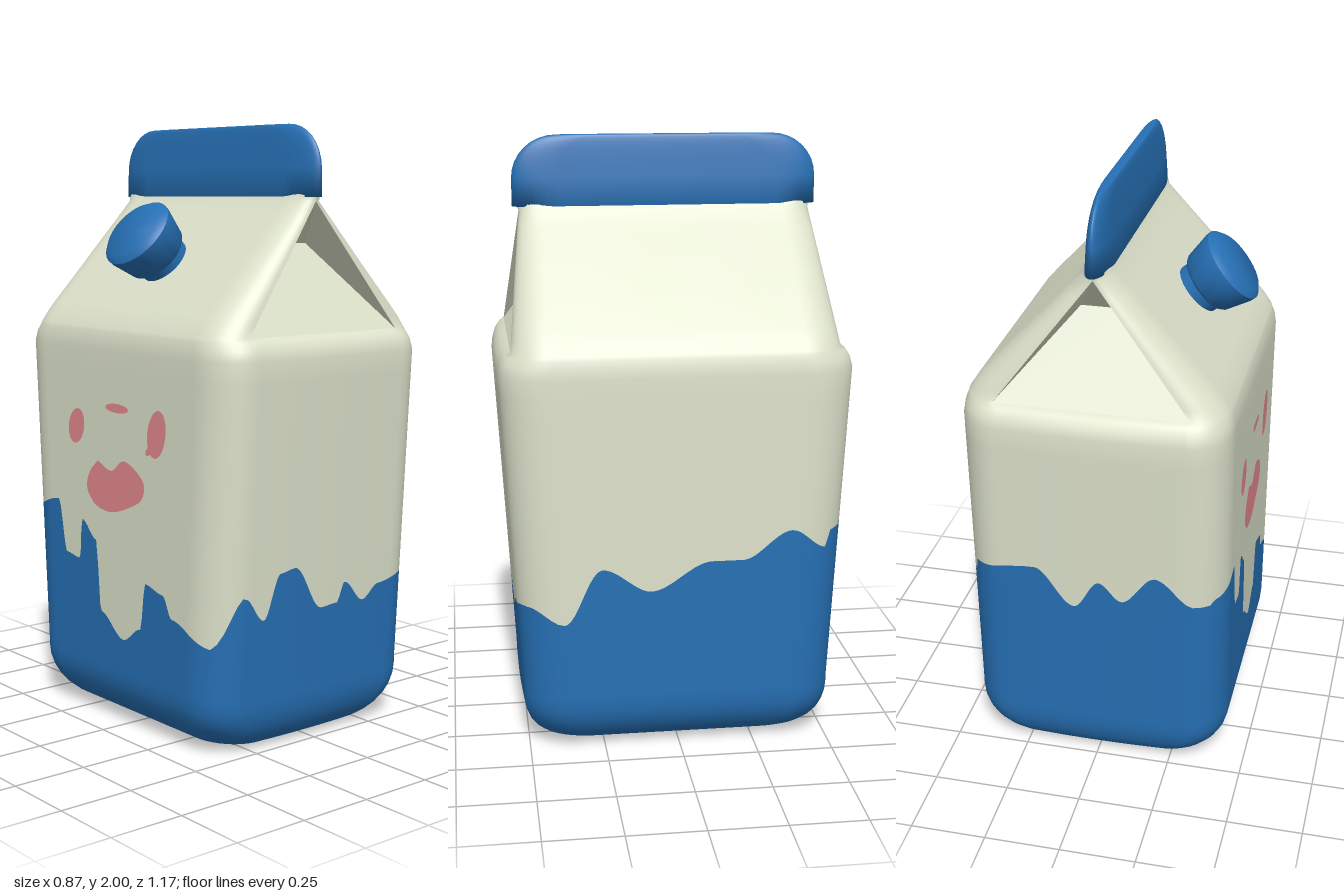
import * as THREE from 'three';
import { toCreasedNormals } from 'three/addons/utils/BufferGeometryUtils.js';

// Columns running round a rounded rectangle: f is the flat part, a the corner arc
const COLUMNS = [];
const CORNER = 10;
for (let k = 0; k < 4; k++) {
  const turn = (x, z) => {
    for (let i = 0; i < k; i++) [x, z] = [z, -x];
    return { x, z };
  };
  const n = k % 2 ? 90 : 72;
  for (let i = 0; i < n; i++) {
    COLUMNS.push({ f: turn((2 * i) / n - 1, 1), a: turn(0, 1), face: k, gable: k % 2 === 0 });
  }
  for (let i = 0; i < CORNER; i++) {
    const t = (i / CORNER) * Math.PI / 2;
    COLUMNS.push({ f: turn(1, 1), a: turn(Math.sin(t), Math.cos(t)), face: i < CORNER / 2 ? k : (k + 1) % 4 });
  }
}

// Point on a ring: half sizes hx, hz, corner radii rx, rz and a slight bow of front and back
function ringPoint(c, { y, hx, hz, rx, rz, bow = 0 }) {
  const x = c.f.x * (hx - rx) + c.a.x * rx;
  const z = c.f.z * (hz - rz) + c.a.z * rz;
  return [x, y, z + Math.sign(z) * bow * (1 - (x / hx) ** 2)];
}

// Skin over rings; a ring may be a function of the column. Rings from openFrom up leave the gables open.
function loft(rings, { openFrom = Infinity, capBottom = false, capTop = false } = {}) {
  const n = COLUMNS.length, pos = [], index = [];
  for (const r of rings) {
    COLUMNS.forEach((c, i) => pos.push(...ringPoint(c, typeof r === 'function' ? r(i) : r)));
  }
  for (let j = 0; j < rings.length - 1; j++) {
    for (let i = 0; i < n; i++) {
      if (j >= openFrom && COLUMNS[i].gable) continue;
      const a = j * n + i, b = j * n + (i + 1) % n;
      index.push(a, b, b + n, a, b + n, a + n);
    }
  }
  const addCap = (j, up) => {
    const centre = pos.length / 3;
    pos.push(0, rings[j].y, 0);
    for (let i = 0; i < n; i++) {
      const a = j * n + i, b = j * n + (i + 1) % n;
      index.push(...(up ? [a, b, centre] : [b, a, centre]));
    }
  };
  if (capBottom) addCap(0, false);
  if (capTop) addCap(rings.length - 1, true);
  const g = new THREE.BufferGeometry();
  g.setAttribute('position', new THREE.Float32BufferAttribute(pos, 3));
  g.setIndex(index);
  g.computeVertexNormals();
  return g;
}

// Straight part of the carton wall, widening upwards from front to back
const wall = y => ({ y, hx: 0.435, hz: 0.508 + (y - 0.2) * 0.057, rx: 0.12, rz: 0.14, bow: 0.016 });

// Crests and troughs of the blue paint, as [x or z, y], joined by smooth waves
const frontWave = [[-.42, .36], [-.33, .53], [-.25, .445], [-.19, .59], [-.13, .6], [-.01, .45],
  [.06, .455], [.09, .52], [.18, .445], [.25, .49], [.38, .51], [.435, .47]];
const leftWave = [[-.5, .73], [-.48, .68], [-.355, .75], [-.2, .655], [-.1, .655],
  [.1, .56], [.255, .64], [.39, .455], [.5, .51]];
const backWave = [[-.34, .675], [-.21, .775], [-.1, .67], [-.025, .735], [.06, .63], [.19, .765], [.43, .735]];
const rightWave = [[-.5, .69], [-.335, .73], [-.3, .55], [-.22, .54], [-.2, .68], [-.12, .62], [-.1, .38],
  [.03, .305], [.13, .36], [.155, .52], [.25, .5], [.3, .43], [.5, .36]];
const waves = [frontWave, leftWave, backWave, rightWave];

function paintEdge(i) {
  const c = COLUMNS[i], p = ringPoint(c, wall(0.55));
  const wave = waves[c.face], s = c.face % 2 ? p[2] : p[0];
  let k = 1;
  while (k < wave.length - 1 && wave[k][0] < s) k++;
  const [s0, y0] = wave[k - 1], [s1, y1] = wave[k];
  return wall(THREE.MathUtils.lerp(y0, y1, THREE.MathUtils.smoothstep(s, s0, s1)));
}

// Roof ring whose flat end narrows to the gable apex
function roof(y, hx) {
  const t = (y - 1.34) / 0.415;
  return { y, hx, hz: 0.535 - 0.049 * t, rx: hx - 0.315 * Math.max(0, 1 - t), rz: 0.12 - 0.03 * t };
}

export function createModel() {
  const mat = (name, color, side = THREE.FrontSide) =>
    Object.assign(new THREE.MeshStandardMaterial({ color, side }), { name });
  const cream = mat('cream', 0xdde2cb, THREE.DoubleSide);
  const blue = mat('blue', 0x2670b5);
  const pink = mat('pink', 0xe88a90, THREE.DoubleSide);
  const group = new THREE.Group();
  group.name = 'milkCarton';
  const add = (name, geometry, material) => {
    const m = new THREE.Mesh(geometry, material);
    m.name = name;
    group.add(m);
    return m;
  };

  // Blue lower body with rounded foot
  const foot = [];
  for (let i = 0; i <= 8; i++) {
    const t = (i / 8) * Math.PI / 2, inset = 1 - Math.sin(t);
    foot.push({ ...wall(0.2), y: 0.18 * (1 - Math.cos(t)), hx: 0.435 - 0.17 * inset, hz: 0.508 - 0.12 * inset });
  }
  add('paintedLowerBody', loft([...foot, wall(0.2), paintEdge], { capBottom: true }), blue);

  // Cream upper body, shoulder and roof panels
  const slope = [1.41, 1.5, 1.6, 1.7, 1.755].map(y => roof(y, 0.367 - (y - 1.41) * 0.92));
  add('upperBodyAndRoof', loft([
    paintEdge, wall(0.95), wall(1.2), wall(1.27),
    { ...wall(1.305), hx: 0.431, hz: 0.561, bow: 0.014 },
    { ...wall(1.328), hx: 0.424, hz: 0.55, bow: 0.008 },
    roof(1.34, 0.42), roof(1.375, 0.397), ...slope,
    { y: 1.785, hx: 0.034, hz: 0.5, rx: 0.034, rz: 0.09 },
  ], { openFrom: 6 }), cream);

  // Folded-in gables at both ends
  const A = [-0.315, 1.34, 0.535], B = [0.315, 1.34, 0.535];
  const C = [0.07, 1.62, 0.36], D = [-0.07, 1.62, 0.36], P = [0, 1.755, 0.486];
  const fold = new THREE.BufferGeometry();
  fold.setAttribute('position', new THREE.Float32BufferAttribute(
    [A, B, C, A, C, D, A, D, P, B, P, C, D, C, P].flat(), 3));
  fold.computeVertexNormals();
  add('frontGable', fold, cream);
  add('backGable', fold, cream).rotation.y = Math.PI;

  // Sealed fin along the ridge, its top corners rounded by a quarter arc
  const fin = [{ y: 1.768, hx: 0.042, hz: 0.508, rx: 0.042, rz: 0.14 }];
  for (let i = 0; i <= 8; i++) {
    const t = (i / 8) * Math.PI / 2, hx = 0.034 - 0.0025 * i;
    fin.push({ y: 1.86 + 0.14 * Math.sin(t), hx, hz: 0.36 + 0.148 * Math.cos(t), rx: hx, rz: 0.14 });
  }
  add('topFin', loft(fin, { capBottom: true, capTop: true }), blue);

  // Screw cap standing square on the right roof panel
  const profile = [[.085, -.05], [.088, .065], [.1, .07], [.108, .08], [.128, .165], [.129, .182], [.108, .2], [0, .2]]
    .map(([r, h]) => new THREE.Vector2(r, h));
  const cap = add('screwCap', toCreasedNormals(new THREE.LatheGeometry(profile, 40), 0.8), blue);
  cap.position.set(-0.205, 1.535, 0);
  cap.quaternion.setFromUnitVectors(new THREE.Vector3(0, 1, 0), new THREE.Vector3(-0.77, 0.64, 0).normalize());

  // Pink print on the right face: one pad and small marks, drawn in (z, y)
  const print = (name, points) => {
    const v = points.map(p => new THREE.Vector2(...p));
    const shape = new THREE.Shape(new THREE.SplineCurve([...v, v[0]]).getPoints(48).slice(0, -1));
    const m = add(name, new THREE.ShapeGeometry(shape), pink);
    m.rotation.y = -Math.PI / 2;
    m.position.x = -0.439;
  };
  const oval = (z, y, w, h, lean) => Array.from({ length: 12 }, (_, i) => {
    const t = (i / 12) * Math.PI * 2;
    return [z + w * Math.cos(t) + lean * Math.sin(t), y + h * Math.sin(t)];
  });
  print('printPad', [[-.1, .897], [-.025, .87], [.05, .912], [.15, .86], [.145, .8],
    [.075, .761], [-.025, .731], [-.115, .743], [-.165, .793], [-.15, .85]]);
  print('printFrontMark', oval(0.225, 1.02, 0.048, 0.078, 0.012));
  print('printBackMark', oval(-0.225, 1.0, 0.046, 0.06, 0.01));
  print('printTopMark', oval(0.01, 1.082, 0.064, 0.015, 0));
  print('printSmallMark', oval(0.185, 0.962, 0.016, 0.016, 0.01));

  return group;
}
